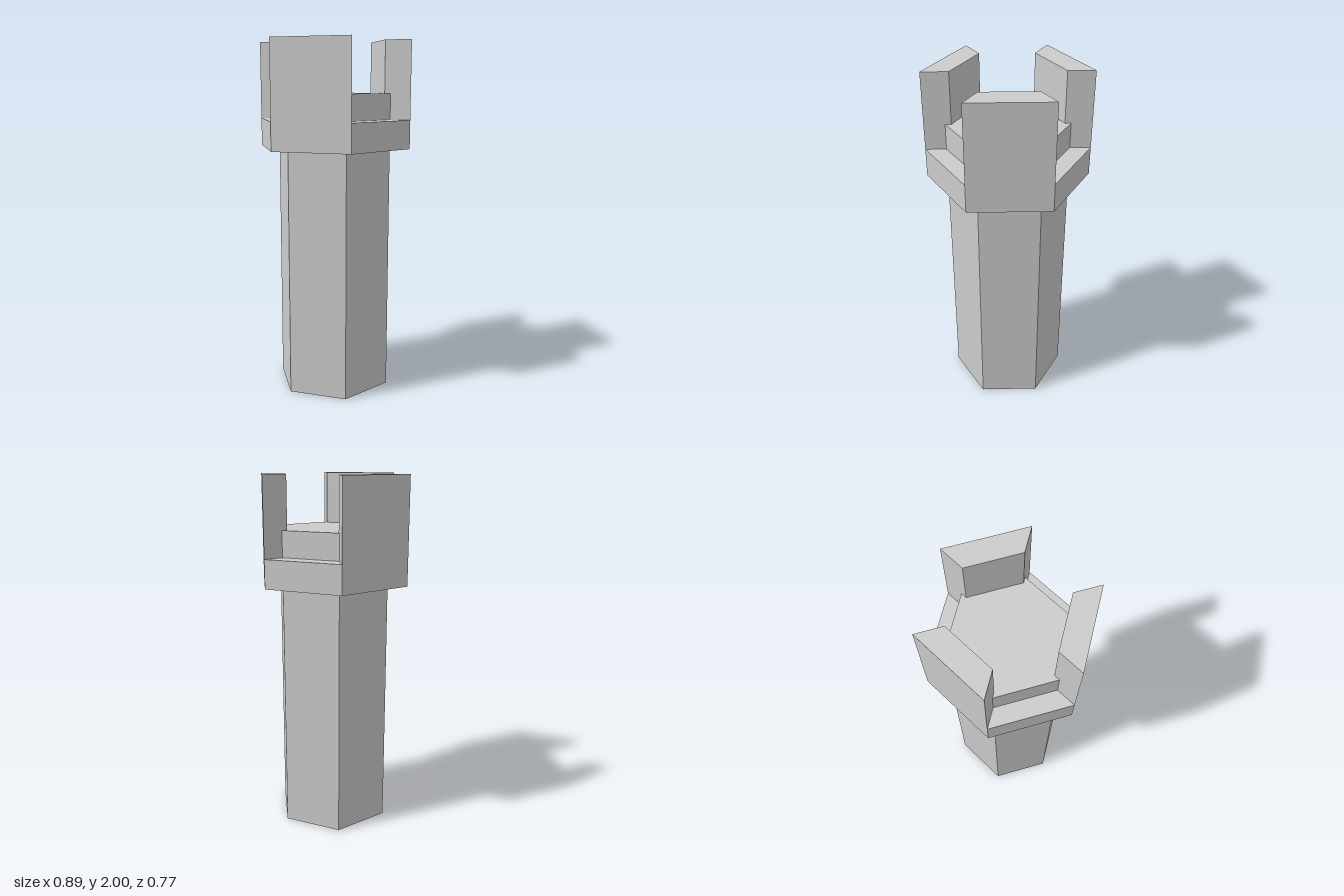
import * as THREE from 'three';

const material = new THREE.MeshStandardMaterial({ color: 0xcccccc, flatShading: true });

// Corner k of a hexagon with corners on the x axis (shape y becomes -z)
const corner = (radius, k) =>
  new THREE.Vector2(radius * Math.cos(k * Math.PI / 3), radius * Math.sin(k * Math.PI / 3));

// Upright prism with the given outline, from y = bottom to y = top
function prism(name, points, bottom, top) {
  const geometry = new THREE.ExtrudeGeometry(new THREE.Shape(points), {
    depth: top - bottom, bevelEnabled: false,
  });
  geometry.rotateX(-Math.PI / 2).translate(0, bottom, 0);
  const mesh = new THREE.Mesh(geometry, material);
  mesh.name = name;
  return mesh;
}

export function createModel() {
  const group = new THREE.Group();
  group.name = 'hexagonalTower';

  const shaftRadius = 0.333, outerRadius = 0.447, merlonInner = 0.3;
  const collarBottom = 1.405, collarTop = 1.565, floorTop = 1.71, towerTop = 2;

  // Shaft, whose top is the raised floor inside the battlements
  const hexagon = [0, 1, 2, 3, 4, 5].map((k) => corner(shaftRadius, k));
  group.add(prism('shaft', hexagon, 0, floorTop));

  // Battlements: tall merlons alternate with low collar sections
  for (let k = 0; k < 6; k++) {
    const tall = k % 2 === 0;
    const inner = tall ? merlonInner : shaftRadius;
    const outline = [
      corner(inner, k), corner(outerRadius, k),
      corner(outerRadius, k + 1), corner(inner, k + 1),
    ];
    group.add(prism(tall ? 'merlon' : 'collarSection', outline, collarBottom, tall ? towerTop : collarTop));
  }

  return group;
}
